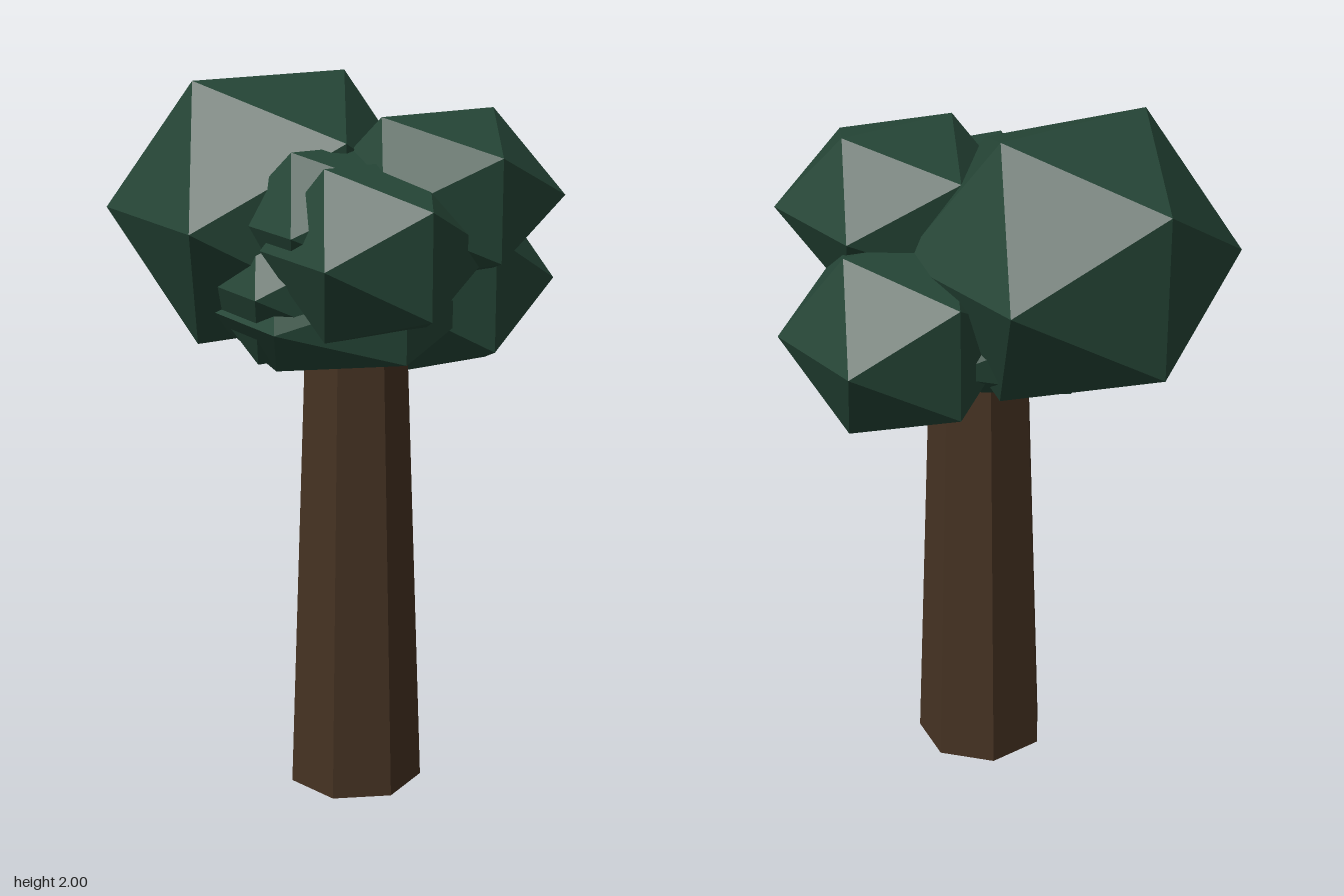
import * as THREE from 'three';

export function createModel() {
  const tree = new THREE.Group();
  tree.name = 'tree';
  const bark = new THREE.MeshStandardMaterial({ color: 0x453222, flatShading: true });
  const leaf = new THREE.MeshStandardMaterial({ color: 0x254536, flatShading: true });

  // Tapered seven-sided trunk, its top hidden in the foliage
  const height = 1.45;
  const trunk = new THREE.Mesh(new THREE.CylinderGeometry(0.139, 0.192, height, 7), bark);
  trunk.name = 'trunk';
  trunk.position.set(-0.047, height / 2, 0.093);
  tree.add(trunk);

  // Foliage clumps: centre x, y, z, radius, vertical squash
  const clumps = [
    [-0.145, 1.637, -0.185, 0.458, 0.93],
    [0.251, 1.432, 0.057, 0.328, 0.912],
    [0.11, 1.71, 0.255, 0.341, 0.76],
    [-0.122, 1.595, 0.312, 0.303, 0.88],
    [-0.134, 1.655, 0.168, 0.299, 0.75],
    [-0.14, 1.475, 0.022, 0.329, 0.8],
    [-0.063, 1.388, 0.04, 0.388, 0.48],
  ];
  const foliage = new THREE.Group();
  foliage.name = 'foliage';
  clumps.forEach(([x, y, z, r, squash], i) => {
    const clump = new THREE.Mesh(new THREE.IcosahedronGeometry(r, 0), leaf);
    clump.name = `leafClump${i + 1}`;
    clump.position.set(x, y, z);
    clump.scale.y = squash;
    foliage.add(clump);
  });
  tree.add(foliage);
  return tree;
}
